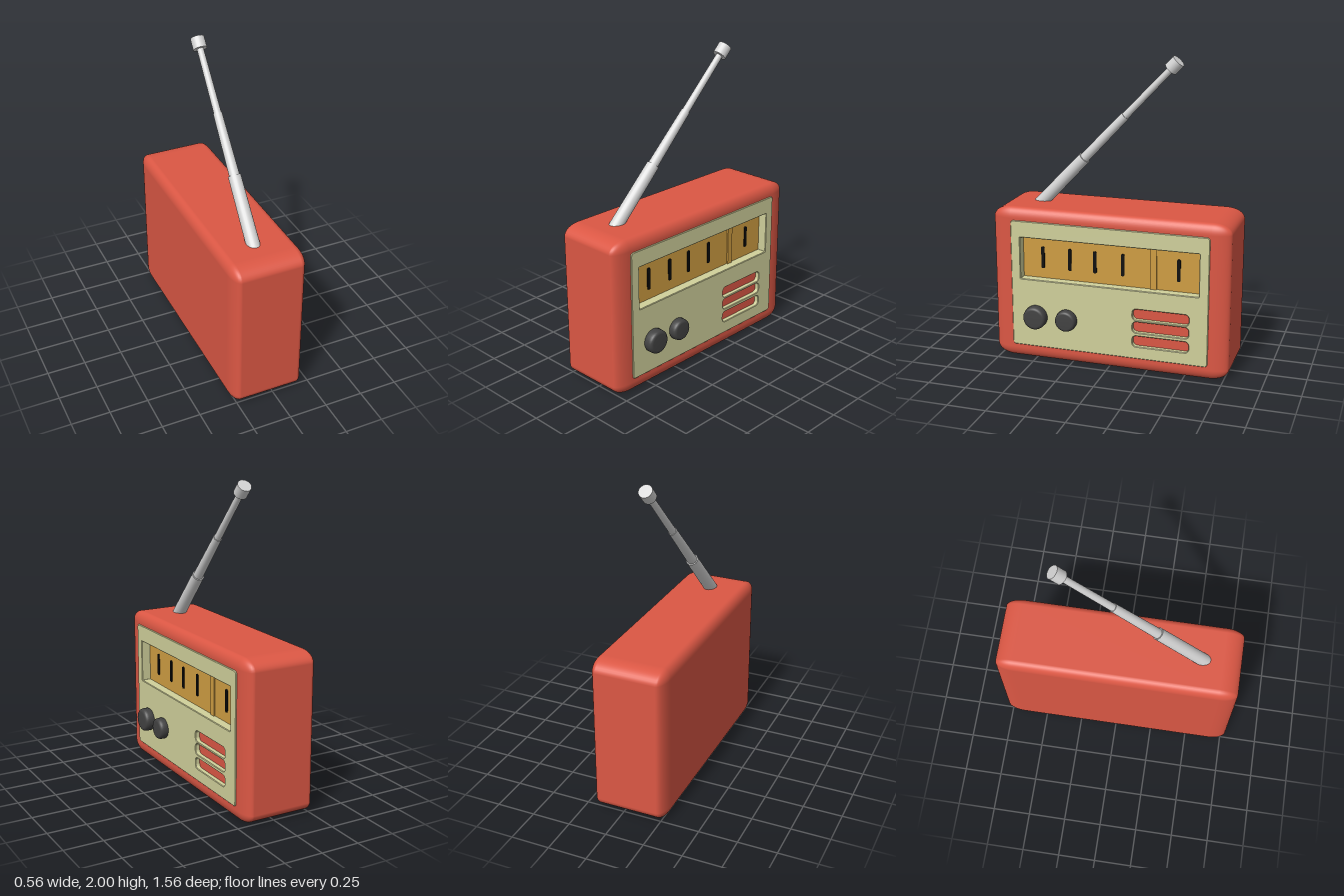
import * as THREE from 'three';
import { RoundedBoxGeometry } from 'three/addons/geometries/RoundedBoxGeometry.js';

const mat = (name, color, extra = {}) => new THREE.MeshStandardMaterial({ name, color, ...extra });

// Rounded rectangle outline centred on (cx, cy)
function roundRect(Type, cx, cy, w, h, r) {
  const p = new Type(), x = cx - w / 2, y = cy - h / 2, q = Math.PI / 2;
  p.absarc(x + w - r, y + r, r, -q, 0);
  p.absarc(x + w - r, y + h - r, r, 0, q);
  p.absarc(x + r, y + h - r, r, q, 2 * q);
  p.absarc(x + r, y + r, r, 2 * q, 3 * q);
  p.closePath();
  return p;
}

export function createModel() {
  const group = new THREE.Group();
  const red = mat('red', 0xdb5744);
  const cream = mat('cream', 0xd0d09b);
  const amber = mat('amber', 0xcf9d42);
  const dark = mat('darkGrey', 0x424242);
  const black = mat('black', 0x0a0a0a);
  const metal = mat('metal', 0xd4d4d4);
  const add = (name, geometry, material, x = 0, y = 0, z = 0) => {
    const m = new THREE.Mesh(geometry, material);
    m.name = name;
    m.position.set(x, y, z);
    group.add(m);
    return m;
  };
  const front = 0.205;

  // Case: stretched rounded box, with its flat front opened for the panel
  const box = new RoundedBoxGeometry(0.485, 1.02 / 1.4, 0.65, 5, 0.05);
  box.scale(1, 1.4, 2.4);
  const pos = box.attributes.position, nor = box.attributes.normal;
  const keptPos = [], keptNor = [];
  for (let i = 0; i < pos.count; i += 3) {
    const tri = [i, i + 1, i + 2];
    if (tri.every(k => pos.getX(k) > 0.2424)) continue;
    for (const k of tri) {
      keptPos.push(pos.getX(k), pos.getY(k), pos.getZ(k));
      keptNor.push(nor.getX(k), nor.getY(k), nor.getZ(k));
    }
  }
  const shell = new THREE.BufferGeometry();
  shell.setAttribute('position', new THREE.Float32BufferAttribute(keptPos, 3));
  shell.setAttribute('normal', new THREE.Float32BufferAttribute(keptNor, 3));
  add('case', shell, red, -0.0375, 0.51, 0);

  // Rim between the case and the panel
  const rim = roundRect(THREE.Shape, 0, 0.51, 1.32, 0.88, 0.001);
  rim.holes.push(roundRect(THREE.Path, 0, 0.515, 1.28, 0.83, 0.015));
  add('caseRim', new THREE.ShapeGeometry(rim).rotateY(Math.PI / 2), red, front, 0, 0);

  // Front panel with dial window and speaker slots
  const slots = [0.39, 0.305, 0.21];
  const panel = roundRect(THREE.Shape, 0, 0.515, 1.306, 0.846, 0.02);
  panel.holes.push(roundRect(THREE.Path, 0, 0.69, 1.18, 0.278, 0.004));
  for (const y of slots) panel.holes.push(roundRect(THREE.Path, 0.3475, y, 0.365, 0.072, 0.025));
  const panelGeo = new THREE.ExtrudeGeometry(panel, {
    depth: 0.064, bevelEnabled: true, bevelThickness: 0.004, bevelSize: 0.004,
    bevelOffset: -0.004, bevelSegments: 1, curveSegments: 5,
  }).rotateY(Math.PI / 2);
  add('frontPanel', panelGeo, cream, 0.144, 0, 0);
  slots.forEach((y, i) =>
    add('speakerSlot' + (i + 1), new THREE.BoxGeometry(0.008, 0.08, 0.375), red, 0.178, y, -0.3475));

  // Tuning dial, pointer and scale marks
  add('dial', new THREE.BoxGeometry(0.008, 0.285, 1.19), amber, 0.146, 0.69, 0);
  add('dialPointer', new THREE.BoxGeometry(0.012, 0.278, 0.04), amber, 0.154, 0.69, -0.286);
  for (const z of [0.455, 0.272, 0.102, -0.083, -0.447]) {
    const mark = new THREE.ExtrudeGeometry(roundRect(THREE.Shape, 0, 0, 0.022, 0.145, 0.008),
      { depth: 0.006, bevelEnabled: false, curveSegments: 3 }).rotateY(Math.PI / 2);
    add('dialMark', mark, black, 0.15, 0.69, z);
  }

  // Knobs with rounded rims
  const knob = (name, r, h, z) => {
    const pts = [[r * 0.92, 0], [r, 0.012], [r, h - 0.026], [r * 0.96, h - 0.011],
      [r * 0.86, h - 0.003], [r * 0.72, h], [0, h]].map(p => new THREE.Vector2(...p));
    add(name, new THREE.LatheGeometry(pts, 32).rotateZ(-Math.PI / 2), dark, 0.208, 0.305, z);
  };
  knob('volumeKnob', 0.077, 0.067, 0.483);
  knob('tuningKnob', 0.07, 0.06, 0.273);

  // Telescopic antenna leaning back along the case
  const foot = new THREE.Vector3(-0.045, 1.02, 0.52);
  const tip = new THREE.Vector3(0, 1.968, -0.388);
  const axis = tip.clone().sub(foot);
  const length = axis.length();
  const antenna = new THREE.Group();
  antenna.name = 'antenna';
  antenna.position.copy(foot);
  antenna.quaternion.setFromUnitVectors(new THREE.Vector3(0, 1, 0), axis.normalize());
  const section = (name, r0, r1, a, b) => {
    const m = new THREE.Mesh(new THREE.CylinderGeometry(r1, r0, b - a, 20), metal);
    m.name = name;
    m.position.y = (a + b) / 2;
    antenna.add(m);
  };
  section('lowerSection', 0.043, 0.04, -0.06, 0.42);
  section('middleSection', 0.033, 0.028, 0.4, 0.82);
  section('upperSection', 0.024, 0.021, 0.8, length - 0.05);
  section('antennaCap', 0.044, 0.044, length - 0.075, length);
  group.add(antenna);

  return group;
}
